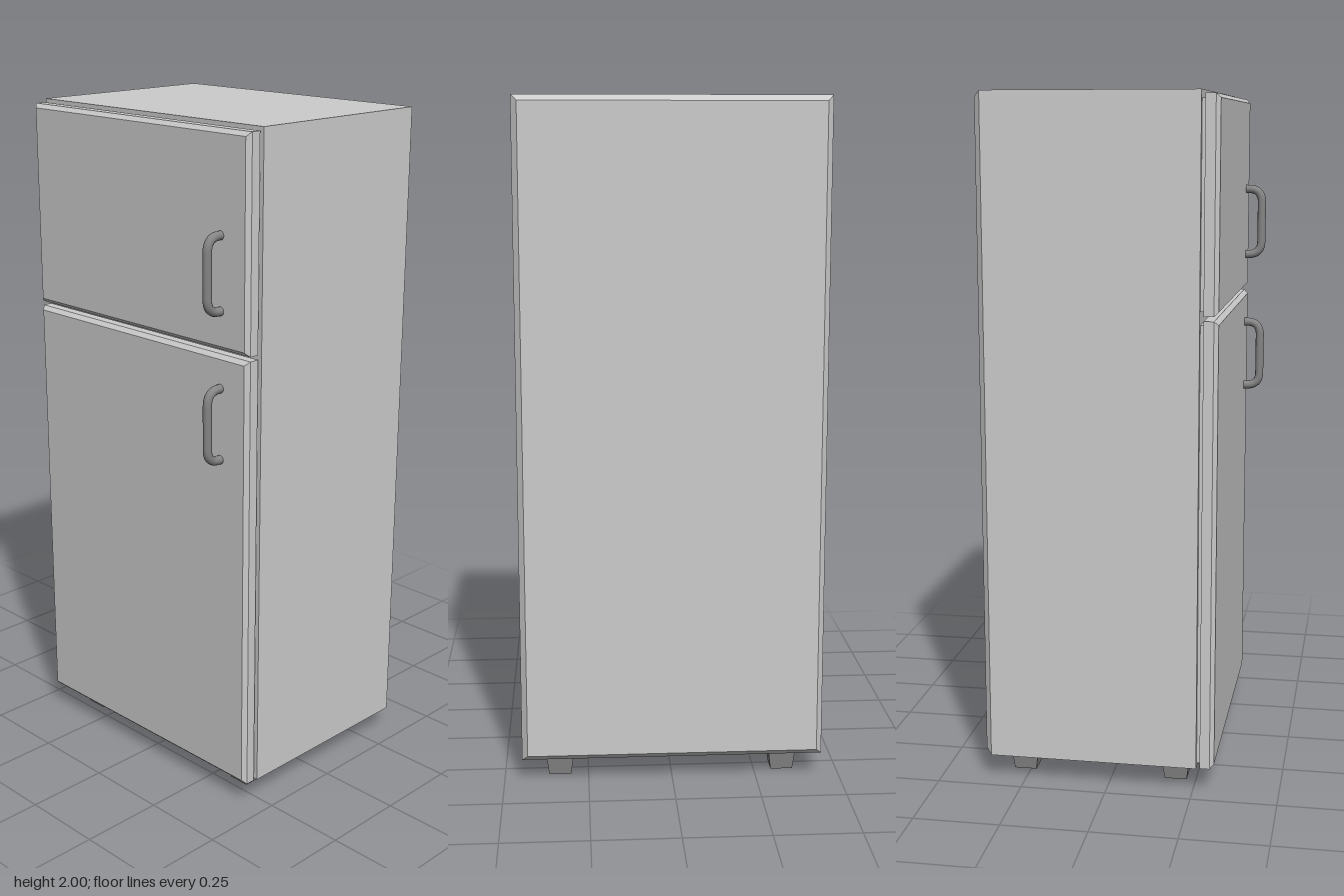
import * as THREE from 'three';

const shell = new THREE.MeshStandardMaterial({ color: 0xcccccc });
shell.name = 'light grey shell';
const trim = new THREE.MeshStandardMaterial({ color: 0x858585 });
trim.name = 'mid grey trim';

function add(parent, name, geometry, material, x = 0, y = 0, z = 0) {
  const mesh = new THREE.Mesh(geometry, material);
  mesh.name = name;
  mesh.position.set(x, y, z);
  parent.add(mesh);
  return mesh;
}

// Box from x0 to x1 whose face at x1 has chamfered edges (x1 may be the lower side)
function chamferedBox(x0, x1, height, depth, bevel, inset) {
  const box = new THREE.BoxGeometry(2, height, depth, 2, 1, 1);
  const dir = Math.sign(x1 - x0);
  const p = box.attributes.position;
  for (let i = 0; i < p.count; i++) {
    const side = p.getX(i) * dir;
    if (side > 0.5) {
      p.setXYZ(i, x1,
        p.getY(i) - Math.sign(p.getY(i)) * inset,
        p.getZ(i) - Math.sign(p.getZ(i)) * inset);
    } else {
      p.setX(i, side < -0.5 ? x0 : x1 - dir * bevel);
    }
  }
  const flat = box.toNonIndexed();
  flat.computeVertexNormals();
  return flat;
}

// Bar handle with two rounded corners, standing out towards -x
function handleGeometry(height) {
  const r = 0.013, bend = 0.042, outer = -0.361, base = -0.3;
  const h = height / 2 - r;
  const v = (x, y) => new THREE.Vector3(x, y, 0);
  const path = new THREE.CurvePath();
  path.add(new THREE.LineCurve3(v(base, h), v(outer + bend, h)));
  path.add(new THREE.QuadraticBezierCurve3(v(outer + bend, h), v(outer, h), v(outer, h - bend)));
  path.add(new THREE.LineCurve3(v(outer, h - bend), v(outer, bend - h)));
  path.add(new THREE.QuadraticBezierCurve3(v(outer, bend - h), v(outer, -h), v(outer + bend, -h)));
  path.add(new THREE.LineCurve3(v(outer + bend, -h), v(base, -h)));
  return new THREE.TubeGeometry(path, 48, r, 12);
}

export function createModel() {
  const model = new THREE.Group();
  model.name = 'refrigerator';

  // Cabinet, chamfered around its back panel
  add(model, 'cabinet', chamferedBox(-0.26, 0.37, 1.93, 0.894, 0.018, 0.017), shell, 0, 1.035);

  // Doors on the -x side, each with a seal and a handle
  const doors = [
    { name: 'freezerDoor', bottom: 1.39, top: 1.99, handleY: 1.605 },
    { name: 'fridgeDoor', bottom: 0.07, top: 1.377, handleY: 1.178 },
  ];
  for (const d of doors) {
    const door = new THREE.Group();
    door.name = d.name;
    const height = d.top - d.bottom;
    const mid = (d.top + d.bottom) / 2;
    add(door, 'doorPanel', chamferedBox(-0.27, -0.311, height, 0.886, 0.012, 0.012), shell, 0, mid);
    add(door, 'doorSeal', new THREE.BoxGeometry(0.014, height - 0.024, 0.862), shell, -0.265, mid);
    add(door, 'doorHandle', handleGeometry(0.234), trim, 0, d.handleY, 0.34);
    model.add(door);
  }

  // Tapered square feet
  const foot = new THREE.CylinderGeometry(0.042 * Math.SQRT2, 0.033 * Math.SQRT2, 0.072, 4)
    .rotateY(Math.PI / 4).toNonIndexed();
  foot.computeVertexNormals();
  for (const x of [-0.19, 0.267]) {
    for (const z of [-0.335, 0.335]) add(model, 'foot', foot, trim, x, 0.036, z);
  }
  return model;
}
